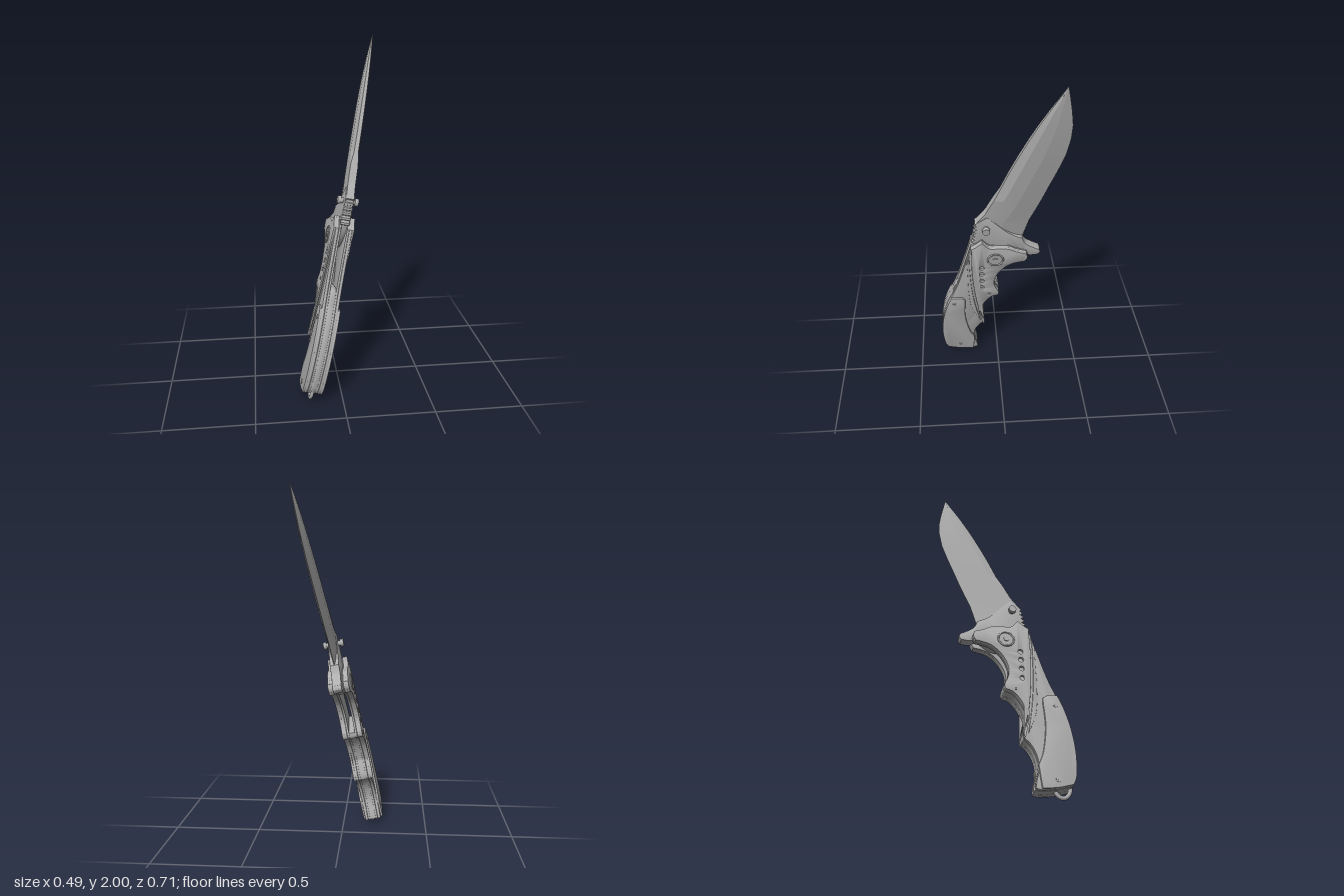
import * as THREE from 'three';
import { toCreasedNormals } from 'three/addons/utils/BufferGeometryUtils.js';

const steel = new THREE.MeshStandardMaterial({ color: 0xb0b0b0 });
steel.name = 'steel grey';

// Closed outline in (z, y): each run of points is a smooth curve, runs meet at corners
function outline(...runs) {
  const shape = new THREE.Shape();
  runs.forEach((run, i) => {
    const pts = run.map(([z, y]) => new THREE.Vector2(z, y));
    if (i === 0) shape.moveTo(pts[0].x, pts[0].y);
    else if (shape.currentPoint.distanceTo(pts[0]) > 1e-4) shape.lineTo(pts[0].x, pts[0].y);
    if (pts.length === 2) shape.lineTo(pts[1].x, pts[1].y);
    else if (pts.length > 2) shape.splineThru(pts.slice(1));
  });
  return shape;
}

export function createModel() {
  const knife = new THREE.Group();
  knife.name = 'foldingKnife';

  const add = (name, geometry) => {
    const mesh = new THREE.Mesh(geometry, steel);
    mesh.name = name;
    knife.add(mesh);
    return mesh;
  };
  // Bevelled plate between two depths
  const plate = (name, shape, d0, d1, bevel) => {
    const g = new THREE.ExtrudeGeometry(shape, {
      depth: d1 - d0 - 2 * bevel, bevelThickness: bevel, bevelSize: bevel,
      bevelOffset: -bevel, bevelSegments: 2, curveSegments: 7,
    });
    g.translate(0, 0, d0 + bevel);
    return add(name, toCreasedNormals(g, 0.6));
  };
  const bothSides = (name, shape, d0, d1, bevel) => {
    plate(name + 'Right', shape, d0, d1, bevel);
    plate(name + 'Left', shape, -d1, -d0, bevel);
  };
  // Pin running through the knife, as long on both sides
  const pin = (name, z, y, r, half, sides = 20) => {
    const g = new THREE.CylinderGeometry(r, r, 2 * half, sides);
    g.rotateX(Math.PI / 2);
    g.translate(z, y, 0);
    return add(name, toCreasedNormals(g, 0.6));
  };

  // Blade: y, spine z, edge z, thickness factor
  const stations = [
    [1.0, 0.14, -0.125, 1], [1.15, 0.135, -0.165, 1], [1.225, 0.08, -0.197, 1],
    [1.315, 0.036, -0.232, 1], [1.385, 0.002, -0.257, 1], [1.5, -0.045, -0.3, 0.95],
    [1.6, -0.09, -0.333, 0.9], [1.7, -0.138, -0.35, 0.8], [1.78, -0.18, -0.352, 0.7],
    [1.86, -0.225, -0.34, 0.55], [1.93, -0.268, -0.326, 0.35], [2.0, -0.309, -0.311, 0.05],
  ];
  const pos = [], index = [];
  stations.forEach(([y, spine, edge, f], i) => {
    const section = [[0, y < 1.35 ? 0.022 : 0.012], [0.2, 0.025], [0.52, 0.022], [1, 0.001]];
    const ring = [...section, ...section.map(([u, t]) => [u, -t]).reverse()];
    ring.forEach(([u, t]) => pos.push(spine + (edge - spine) * u, y, t * f));
    if (i === 0) return;
    for (let j = 0; j < 8; j++) {
      const a = (i - 1) * 8 + j, b = (i - 1) * 8 + (j + 1) % 8;
      index.push(a, a + 8, b + 8, a, b + 8, b);
    }
  });
  const blade = new THREE.BufferGeometry();
  blade.setAttribute('position', new THREE.Float32BufferAttribute(pos, 3));
  blade.setIndex(index);
  add('blade', toCreasedNormals(blade, 0.12));

  // Tang with thumb grooves, plunge line and flipper tab
  const grooves = [];
  for (let i = 0; i < 5; i++) {
    const y = 1.0 + i * 0.027, z = 0.158 - i * 0.004;
    grooves.push([[z - 0.014, y], [z, y + 0.006]], [[z, y + 0.018], [z - 0.014, y + 0.024]]);
  }
  plate('tang', outline(
    [[0.11, 0.9]], [[0.14, 0.97]], ...grooves, [[0.14, 1.15]],
    [[0.07, 1.2], [-0.035, 1.09]],
    [[-0.035, 1.09], [-0.08, 1.055], [-0.13, 1.03]],
    [[-0.13, 1.03], [-0.15, 0.985], [-0.19, 0.955], [-0.23, 0.933]],
    [[-0.23, 0.933], [-0.238, 0.912], [-0.225, 0.892]],
    [[-0.225, 0.892], [-0.18, 0.888], [-0.13, 0.9], [-0.05, 0.85], [0.05, 0.84]],
  ), -0.026, 0.026, 0.004);

  // Thumb stud
  pin('thumbStud', 0.077, 1.12, 0.015, 0.055);
  for (const s of [-1, 1]) {
    const g = new THREE.CylinderGeometry(0.022, 0.022, 0.02, 20);
    g.rotateX(Math.PI / 2);
    g.translate(0.077, 1.12, s * 0.05);
    add('thumbStudHead', toCreasedNormals(g, 0.6));
  }

  // Handle outline runs
  const top = [
    [[0.165, 0.985], [0.135, 1.005], [0.1, 1.035]],
    [[0.1, 1.035], [0.06, 0.99], [0.01, 0.985], [-0.05, 0.98], [-0.1, 0.955], [-0.155, 0.935]],
    [[-0.155, 0.935], [-0.164, 0.905], [-0.15, 0.873]],
    [[-0.15, 0.873], [-0.07, 0.853], [-0.01, 0.8], [0.024, 0.73], [0.026, 0.67], [0, 0.61]],
  ];
  const fingers = [
    [[0, 0.61], [0.004, 0.58], [0.045, 0.562], [0.08, 0.52], [0.103, 0.47], [0.118, 0.415]],
    [[0.118, 0.415], [0.09, 0.335], [0.09, 0.3]],
  ];
  const butt = [
    [[0.09, 0.3], [0.12, 0.27], [0.145, 0.22], [0.155, 0.15], [0.135, 0.07], [0.13, 0.035]],
    [[0.13, 0.035], [0.165, 0.028], [0.245, 0.04], [0.325, 0.06]],
    [[0.325, 0.06], [0.346, 0.11], [0.357, 0.23], [0.347, 0.36], [0.32, 0.48], [0.29, 0.56]],
  ];
  const back = [[0.285, 0.57], [0.245, 0.68], [0.195, 0.865], [0.165, 0.985]];

  // Liners and scales, with a spacer that leaves the upper handle open
  const side = outline(...top, ...fingers, ...butt, back);
  bothSides('liner', side, 0.017, 0.029, 0.002);
  bothSides('scale', side, 0.029, 0.048, 0.006);
  plate('spacer', outline(...fingers, ...butt, [[0.285, 0.57], [0.255, 0.65], [0.2, 0.66]]),
    -0.018, 0.018, 0.003);

  // Raised front panel with four round holes
  const panel = outline(...top, ...fingers,
    [[0.09, 0.3], [0.1, 0.37], [0.13, 0.49], [0.152, 0.66], [0.162, 0.82], [0.162, 0.96]]);
  for (const y of [0.823, 0.77, 0.713, 0.653]) {
    const hole = new THREE.Path();
    hole.absarc(0.103, y, 0.014, 0, Math.PI * 2, true);
    panel.holes.push(hole);
  }
  bothSides('frontPanel', panel, 0.044, 0.06, 0.005);

  // Curved inlay band
  bothSides('inlayBand', outline(
    [[0.19, 0.86], [0.186, 0.75], [0.182, 0.6], [0.165, 0.45], [0.112, 0.325]],
    [[0.112, 0.325], [0.145, 0.49], [0.164, 0.65], [0.174, 0.84], [0.172, 0.93]],
  ), 0.044, 0.055, 0.003);

  // Rear cover
  bothSides('rearCover', outline(
    [[0.285, 0.56], [0.23, 0.555]],
    [[0.23, 0.555], [0.208, 0.54], [0.205, 0.51]],
    [[0.205, 0.51], [0.207, 0.37], [0.182, 0.23], [0.15, 0.155]],
    [[0.15, 0.155], [0.155, 0.09], [0.16, 0.032]],
    [[0.16, 0.032], [0.245, 0.04], [0.325, 0.06]], butt[2],
  ), 0.044, 0.06, 0.005);

  // Pivot and screws
  pin('pivotDisc', 0.024, 0.897, 0.046, 0.062, 28);
  pin('pivotHub', 0.024, 0.897, 0.016, 0.067, 6);
  for (const s of [-1, 1]) {
    const ring = new THREE.TorusGeometry(0.045, 0.005, 8, 28);
    ring.translate(0.024, 0.897, s * 0.062);
    add('pivotRing', ring);
  }
  for (const [z, y] of [[0.06, 0.59], [0.272, 0.5], [0.246, 0.082]]) {
    pin('screw', z, y, 0.014, 0.062, 16);
    pin('screwSocket', z, y, 0.006, 0.064, 6);
  }

  // Lanyard loop
  const loop = new THREE.CatmullRomCurve3(
    [[0.325, 0.09], [0.318, 0.04], [0.292, 0.013], [0.262, 0.016], [0.235, 0.05]]
      .map(([z, y]) => new THREE.Vector3(z, y, 0)));
  add('lanyardLoop', new THREE.TubeGeometry(loop, 20, 0.011, 10));

  // Lean the whole knife towards +x
  const lean = new THREE.Matrix4().makeBasis(
    new THREE.Vector3(0, 0, 1), new THREE.Vector3(0.218, 1, 0), new THREE.Vector3(-0.977, 0.213, 0));
  lean.setPosition(-0.19, 0, 0);
  knife.applyMatrix4(lean);

  const model = new THREE.Group();
  model.name = 'model';
  model.add(knife);
  return model;
}
